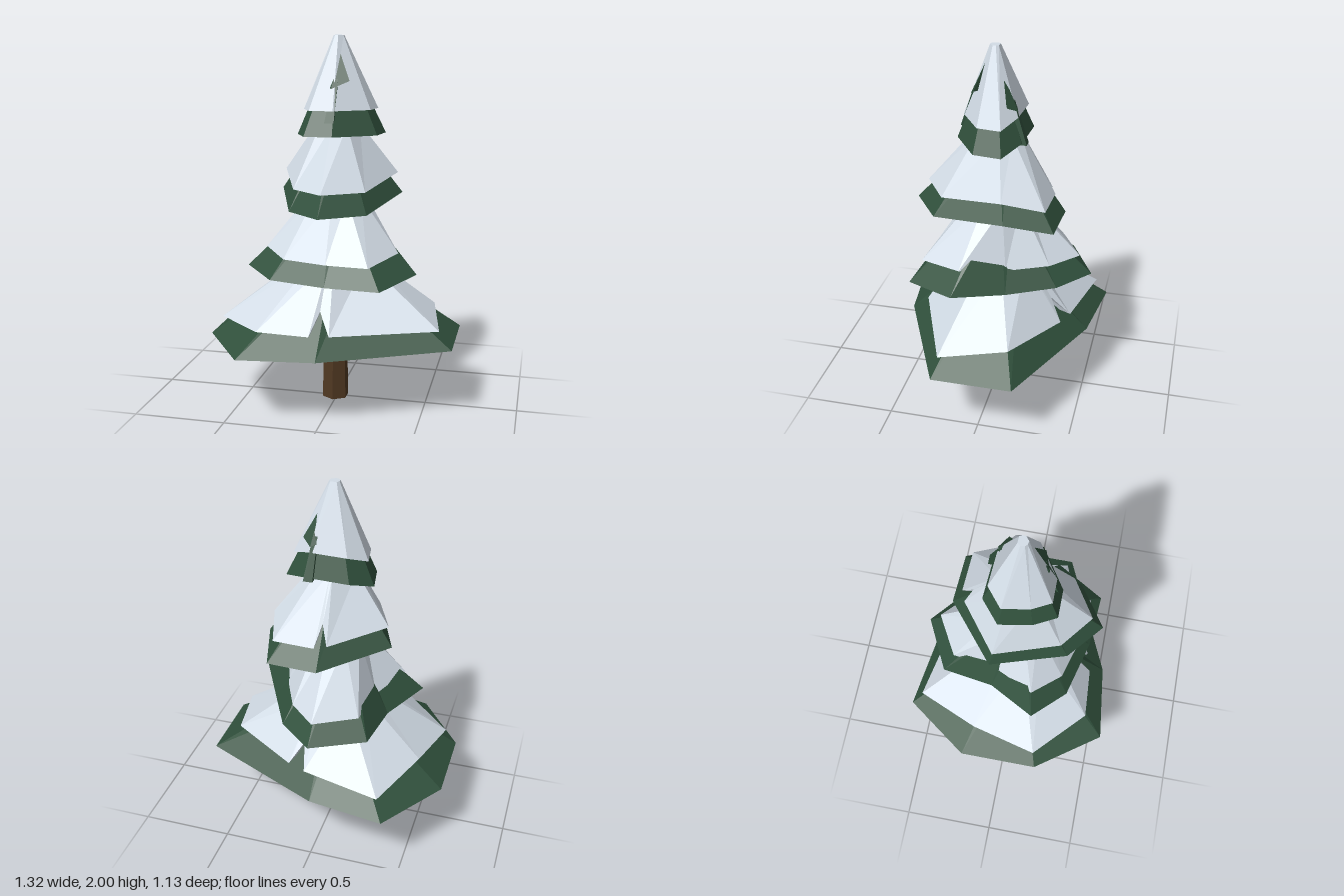
import * as THREE from 'three';

const mat = (name, color) => {
  const m = new THREE.MeshStandardMaterial({ color, flatShading: true, side: THREE.DoubleSide });
  m.name = name;
  return m;
};

// Skin a stack of rings (bottom to top, each running front > left > back > right) and cap both ends
function loft(name, rings, material) {
  const pos = [];
  const tri = (...pts) => pts.forEach(p => pos.push(...p));
  const n = rings[0].length;
  const centre = ring => [0, 1, 2].map(k => ring.reduce((s, p) => s + p[k], 0) / n);
  const bottom = rings[0], top = rings[rings.length - 1];
  const cb = centre(bottom), ct = centre(top);
  for (let i = 0; i < n; i++) {
    const j = (i + 1) % n;
    for (let r = 0; r < rings.length - 1; r++) {
      const lo = rings[r], hi = rings[r + 1];
      tri(lo[i], lo[j], hi[j]);
      tri(lo[i], hi[j], hi[i]);
    }
    tri(cb, bottom[j], bottom[i]);
    tri(ct, top[i], top[j]);
  }
  const geo = new THREE.BufferGeometry();
  geo.setAttribute('position', new THREE.Float32BufferAttribute(pos, 3));
  geo.computeVertexNormals();
  const mesh = new THREE.Mesh(geo, material);
  mesh.name = name;
  return mesh;
}

// Rim ring from an outline of [x, z, raise] points at height y
const rimAt = (outline, y, sx = 1, sz = 1) =>
  outline.map(([x, z, raise = 0]) => [x * sx, y + raise, z * sz]);

// Small round ring whose points lie in the same directions as the rim points
const collar = (rim, r, y, shift) => rim.map(([x, , z]) => {
  const d = Math.hypot(x, z);
  return [shift + x / d * r, y, shift + z / d * r];
});

// Split the chosen rim points into V-shaped notches that bare the needles
const notch = (rim, corners) => rim.flatMap((p, i) => {
  if (!corners.includes(i)) return [p];
  const toward = q => p.map((v, k) => v + (q[k] - v) * 0.11);
  const apex = [p[0] * 0.77, p[1] + 0.11, p[2] * 0.77];
  return [toward(rim[(i + rim.length - 1) % rim.length]), apex, toward(rim[(i + 1) % rim.length])];
});

// Every tier: needle outline and heights; snow is the outline scaled inwards, or its own outline
const TIERS = [
  {
    y: 0.38, snowY: 0.485, top: 0.81, greenR: 0.12, snowR: 0.18, notches: [0, 3],
    outline: [[0, 0.51], [0.66, 0.21, 0.01], [0.66, -0.22, 0.01], [0, -0.51],
      [-0.41, -0.57], [-0.66, -0.22, 0.01], [-0.66, 0.21, 0.01], [-0.41, 0.56]],
    snowOutline: [[-0.02, 0.43], [0.59, 0.19], [0.52, -0.17, 0.045], [0.11, -0.41, 0.02],
      [-0.37, -0.51], [-0.52, -0.17, 0.045], [-0.6, 0.19], [-0.33, 0.45, 0.015]],
  },
  {
    y: 0.745, snowY: 0.85, top: 1.16, greenR: 0.1, snowR: 0.15, scale: [0.78, 0.87], notches: [],
    outline: [[0.02, 0.4], [0.31, 0.42], [0.46, 0.15, 0.03], [0.32, -0.11], [0.19, -0.36],
      [0, -0.52], [-0.28, -0.38], [-0.32, -0.1], [-0.46, 0.15, 0.03], [-0.29, 0.32]],
  },
  {
    y: 1.11, snowY: 1.22, top: 1.54, greenR: 0.08, snowR: 0.12, scale: [0.93, 0.86], notches: [4],
    outline: [[0, 0.45], [0.22, 0.3], [0.34, -0.1, 0.055], [0.27, -0.35], [0, -0.365],
      [-0.33, -0.1, 0.055], [-0.19, 0.29]],
  },
  {
    y: 1.49, snowY: 1.62, top: 2, greenR: 0.01, snowR: 0.028, scale: [0.84, 0.84], shift: 0.012, notches: [],
    outline: [[0.02, 0.215], [0.23, 0.08], [0.25, -0.07], [0.13, -0.15, 0.04],
      [-0.115, -0.165, 0.04], [-0.22, -0.07], [-0.19, 0.1], [-0.13, 0.215]],
  },
];

// Needle sprig poking through the top snow: a strip with an arrow-shaped tip
function sprig(name, material) {
  const g = new THREE.Group();
  g.name = name;
  const band = (x, y, z, w) => [[x - w, y, z], [x + w, y, z], [x + w, y, z - 0.05], [x - w, y, z - 0.05]];
  g.add(loft('sprigStem', [band(0, 1.56, 0.195, 0.025), band(0.02, 1.78, 0.12, 0.012)], material));
  const base = [[0, 1.73, 0.145], [0.09, 1.77, 0.11], [0.03, 1.77, 0.06], [-0.05, 1.76, 0.1]];
  g.add(loft('sprigTip', [base, base.map(() => [0.03, 1.91, 0.06])], material));
  return g;
}

export function createModel() {
  const tree = new THREE.Group();
  tree.name = 'snowyPine';
  const needles = mat('needleGreen', 0x30503c);
  const snow = mat('snowWhite', 0xd4dee8);
  const bark = mat('barkBrown', 0x503822);

  // Hexagonal trunk, slightly tapered
  const trunk = new THREE.Mesh(new THREE.CylinderGeometry(0.065, 0.075, 0.46, 6), bark);
  trunk.name = 'trunk';
  trunk.position.set(-0.01, 0.23, -0.003);
  tree.add(trunk);

  TIERS.forEach(({ y, snowY, top, greenR, snowR, scale = [1, 1], shift = 0, notches, outline, snowOutline = outline }, i) => {
    const tier = new THREE.Group();
    tier.name = 'tier' + (i + 1);
    const skirt = rimAt(outline, y);
    tier.add(loft('branches', [skirt, collar(skirt, greenR, top - 0.02, shift)], needles));
    // Snow overhangs the branches, so its underside turns inwards
    const rim = notch(rimAt(snowOutline, snowY, ...scale), notches);
    const under = rim.map(p => [p[0] * 0.8, p[1] + 0.02, p[2] * 0.8]);
    tier.add(loft('snowCap', [under, rim, collar(rim, snowR, top, shift)], snow));
    tree.add(tier);
  });

  // Sprigs on the front and back of the top tier
  const back = sprig('backSprig', needles);
  back.rotation.y = Math.PI;
  back.position.set(0.1, -0.04, 0.02);
  tree.add(sprig('frontSprig', needles), back);
  return tree;
}
